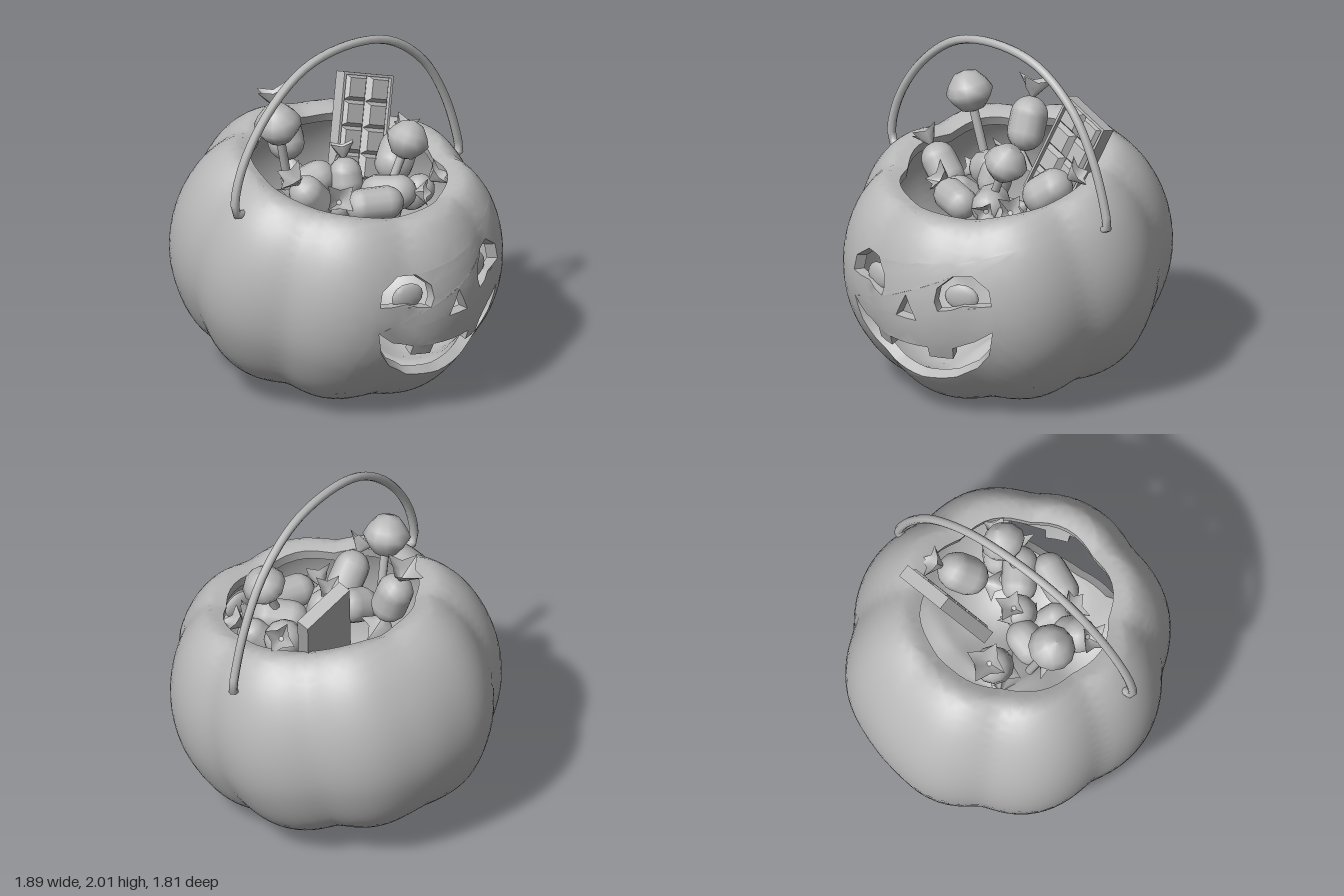
import * as THREE from 'three';
import { toCreasedNormals } from 'three/addons/utils/BufferGeometryUtils.js';

const V3 = (x, y, z) => new THREE.Vector3(x, y, z);
const UP = V3(0, 1, 0);
const TILT = 0.18, CENTRE_Y = 0.68, WALL = 0.06, OVAL = 1.045;

// Half outline of the bucket: [radius, height], from the dimpled base to the rim
const profile = new THREE.CatmullRomCurve3([
  [0.01, -0.5], [0.2, -0.545], [0.46, -0.61], [0.7, -0.49], [0.86, -0.22], [0.905, 0.02],
  [0.875, 0.27], [0.775, 0.49], [0.64, 0.61], [0.54, 0.585],
].map(([r, h]) => V3(r, h, 0)));
const LENGTH = profile.getLength();

// Point of the lobed shell at an angle, a distance up the outline and an outward offset
function shellPoint(angle, v, offset) {
  const t = THREE.MathUtils.clamp(v / LENGTH, 0, 1);
  const p = profile.getPointAt(t), d = profile.getTangentAt(t);
  const groove = 1 - Math.sqrt((Math.cos(4 * angle) ** 2 + 0.03) / 1.03);
  // Grooves are shallower on the face and nearly vanish at one place behind
  const calm = (1 - 0.5 * Math.max(0, Math.cos(angle)) ** 4) * (1 - 0.75 * Math.exp(-(((angle - 2.75) / 0.25) ** 2)));
  const r = Math.max(0.005, p.x * (1 - 0.065 * groove * calm) + d.y * offset);
  const h = p.y * (1 - 0.045 * groove) - d.x * offset;
  return V3(OVAL * r * Math.cos(angle), h, -r * Math.sin(angle));
}

// Finds where a face point (z, y) lies on the unrolled shell
function toSheet([z, y]) {
  let best, error = Infinity;
  for (let v = 0.82; v < 1.78; v += 0.005) {
    let p = shellPoint(0, v, 0), angle = 0;
    for (let i = 0; i < 3; i++) {
      angle = -Math.asin(z / Math.hypot(p.x / OVAL, p.z));
      p = shellPoint(angle, v, 0);
    }
    const e = Math.abs(CENTRE_Y + p.y * Math.cos(TILT) - p.x * Math.sin(TILT) - y);
    if (e < error) { error = e; best = new THREE.Vector2(angle, v); }
  }
  return best;
}

// Halves the longest edge until every triangle is small
function refine(a, b, c, limit, out) {
  const ab = a.distanceTo(b);
  const longest = Math.max(ab, b.distanceTo(c), c.distanceTo(a));
  if (longest <= limit) {
    out.push(a, b, c);
  } else if (ab < longest) {
    refine(b, c, a, limit, out);
  } else {
    const m = a.clone().add(b).multiplyScalar(0.5);
    refine(a, m, c, limit, out);
    refine(m, b, c, limit, out);
  }
}

// Bucket wall: flat sheets with face holes, refined and rolled round the outline
function bucketGeometry() {
  const eye = [[0.49, 0.75], [0.47, 0.84], [0.37, 0.91], [0.27, 0.9], [0.2, 0.83],
    [0.19, 0.75], [0.21, 0.7], [0.28, 0.71], [0.34, 0.74], [0.42, 0.74]];
  const mouth = [[0.49, 0.59], [0.4, 0.51], [0.28, 0.47], [0.28, 0.41], [0.17, 0.4], [0.165, 0.46],
    [-0.1, 0.46], [-0.1, 0.4], [-0.23, 0.4], [-0.24, 0.47], [-0.36, 0.52], [-0.46, 0.59],
    [-0.42, 0.44], [-0.33, 0.34], [-0.2, 0.26], [0.02, 0.22], [0.24, 0.26], [0.37, 0.35], [0.45, 0.45]];
  const nose = [[0.09, 0.62], [0.02, 0.76], [-0.05, 0.62]];
  const holes = [eye, eye.map(([z, y]) => [0.03 - z, y]), nose, mouth];

  const shapes = [], bands = [0, 0.8, 1.8, LENGTH], q = Math.PI / 2;
  for (let side = 0; side < 4; side++) {
    for (let band = 0; band < 3; band++) {
      const a = (side - 0.5) * q, b = a + q, lo = bands[band], hi = bands[band + 1];
      const shape = new THREE.Shape([[a, lo], [b, lo], [b, hi], [a, hi]].map((p) => new THREE.Vector2(...p)));
      if (side === 0 && band === 1) shape.holes = holes.map((h) => new THREE.Path(h.map(toSheet)));
      shapes.push(shape);
    }
  }
  const flat = new THREE.ExtrudeGeometry(shapes, { depth: WALL, bevelEnabled: false });
  const pos = flat.attributes.position, points = [];
  for (let i = 0; i < pos.count; i += 3) {
    const [a, b, c] = [0, 1, 2].map((k) => new THREE.Vector3().fromBufferAttribute(pos, i + k));
    refine(a, b, c, 0.1, points);
  }
  const rolled = points.map((p) => shellPoint(p.x, p.y, p.z - WALL));
  return toCreasedNormals(new THREE.BufferGeometry().setFromPoints(rolled), 0.7);
}

// Four-pointed twist of wrapper, opening upwards from its tip
function frillGeometry(radius, height) {
  const g = new THREE.CylinderGeometry(radius, 0.012, height, 8, 2, true);
  const p = g.attributes.position;
  for (let i = 0; i < p.count; i++) {
    const t = p.getY(i) / height + 0.5;
    const fold = i % 9 % 2;
    const spread = 1 + t * (fold ? -0.4 : 0.1);
    const lift = t * height * (fold ? -0.2 : 0.05);
    p.setXYZ(i, p.getX(i) * spread, p.getY(i) + height / 2 + lift, p.getZ(i) * spread);
  }
  g.computeVertexNormals();
  return g;
}

export function createModel() {
  const model = new THREE.Group();
  model.name = 'pumpkinBucketOfSweets';
  const grey = new THREE.MeshStandardMaterial({ color: 0xb8b8b8, side: THREE.DoubleSide });
  grey.name = 'plainGrey';

  const add = (name, geometry, parent = model) => {
    const mesh = new THREE.Mesh(geometry, grey);
    mesh.name = name;
    parent.add(mesh);
    return mesh;
  };

  // Leaning bucket
  const bucket = add('pumpkinBucket', bucketGeometry());
  bucket.rotation.z = -TILT;
  bucket.position.set(-0.01, CENTRE_Y, 0);

  // Sunken pupils behind the eye openings
  for (const s of [-1, 1]) {
    const pupil = add('pupil', new THREE.SphereGeometry(0.1, 12, 8).scale(0.3, 0.75, 1));
    pupil.position.set(0.8, 0.765, 0.015 + s * 0.28);
    pupil.rotation.y = -s * 0.3;
  }

  // Carrying handle, hooked into the shell at both ends
  const arc = [[0.73, 1.17], [0.8, 1.18], [0.81, 1.27], [0.74, 1.49], [0.56, 1.74], [0.31, 1.92], [0, 1.975],
    [-0.3, 1.92], [-0.55, 1.73], [-0.71, 1.46], [-0.8, 1.18], [-0.81, 1.1], [-0.75, 1.08]];
  const path = new THREE.CatmullRomCurve3(arc.map(([z, y]) => V3(0.08 - z * 0.125, y, z)));
  add('handle', new THREE.TubeGeometry(path, 40, 0.025, 8));

  // Lollipops with a soft ridge round the head: [head, stick end, radius]
  for (const [head, foot, r] of [
    [V3(-0.12, 1.555, 0.35), V3(-0.14, 1.05, 0.22), 0.135],
    [V3(0.33, 1.405, -0.225), V3(0.28, 0.95, -0.02), 0.125],
  ]) {
    const pop = new THREE.Group();
    pop.name = 'lollipop';
    pop.position.copy(head);
    const dir = head.clone().sub(foot), length = dir.length();
    pop.quaternion.setFromUnitVectors(UP, dir.normalize());
    const outline = [[0, -0.9], [0.5, -0.75], [0.82, -0.35], [1, 0], [0.82, 0.35], [0.5, 0.75], [0, 0.9]];
    add('lollipopHead', new THREE.LatheGeometry(outline.map(([x, y]) => new THREE.Vector2(x * r, y * r)), 12), pop);
    add('lollipopStick', new THREE.CylinderGeometry(0.025, 0.025, length, 8), pop).position.y = -length / 2;
    model.add(pop);
  }

  // Wrapped sweets: [centre, axis, radius, straight length, frill size or 0]
  const sweets = [
    [V3(-0.31, 1.36, 0.09), V3(-0.35, 1, 0), 0.105, 0.1, 0.11],
    [V3(0.12, 1.2, -0.36), V3(-0.3, 0.55, -0.7), 0.11, 0.08, 0.085],
    [V3(0.37, 1.13, 0.09), V3(0.5, 0, -0.85), 0.095, 0.14, 0],
    [V3(0.3, 1.12, -0.1), V3(0.8, 0.1, -0.4), 0.1, 0.12, 0.07],
    [V3(-0.04, 1.17, 0.15), V3(0.3, 0.3, -0.8), 0.1, 0.07, 0.07],
    [V3(0.09, 1.18, 0.02), V3(-0.3, 1, -0.15), 0.095, 0.05, 0.085],
    [V3(0.13, 1.18, 0.35), V3(-0.1, 0.8, 0.65), 0.1, 0.1, 0.09],
    [V3(0.17, 1.08, 0.18), V3(0.7, 0.7, 0.6), 0.085, 0.06, 0.09],
    [V3(0.35, 1.08, -0.27), V3(0.6, 0.7, -0.45), 0.085, 0.06, 0.08],
  ];
  for (const [centre, axis, r, length, frill] of sweets) {
    const sweet = new THREE.Group();
    sweet.name = 'wrappedSweet';
    sweet.position.copy(centre);
    sweet.quaternion.setFromUnitVectors(UP, axis.normalize());
    add('sweetBody', new THREE.CapsuleGeometry(r, length, 5, 12), sweet);
    if (frill) {
      for (const end of [1, -1]) {
        const twist = add('wrapperFrill', frillGeometry(frill, frill), sweet);
        twist.position.y = end * (length / 2 + r - 0.005);
        if (end < 0) twist.rotation.x = Math.PI;
      }
    }
    model.add(sweet);
  }

  // Chocolate bar: framed slab with two columns of raised pieces
  const bar = new THREE.Group();
  bar.name = 'chocolateBar';
  const up = V3(-0.2, 0.92, -0.36).normalize();
  const normal = up.clone().cross(V3(-0.26, 0.36, 0.9)).normalize();
  bar.quaternion.setFromRotationMatrix(new THREE.Matrix4().makeBasis(normal, up, normal.clone().cross(up)));
  bar.position.set(-0.13, 1.31, -0.33);
  add('barSlab', new THREE.BoxGeometry(0.055, 0.6, 0.34), bar);
  for (const s of [-1, 1]) {
    add('barSideRim', new THREE.BoxGeometry(0.03, 0.6, 0.015), bar).position.set(0.035, 0, s * 0.1625);
    add('barEndRim', new THREE.BoxGeometry(0.03, 0.015, 0.34), bar).position.set(0.035, s * 0.2925, 0);
    for (let row = 0; row < 4; row++) {
      const block = new THREE.CylinderGeometry(0.075, 0.108, 0.035, 4).rotateY(Math.PI / 4).toNonIndexed();
      block.computeVertexNormals();
      const piece = add('barPiece', block, bar);
      piece.rotation.z = -Math.PI / 2;
      piece.position.set(0.043, (row - 1.5) * 0.145, s * 0.077);
    }
  }
  model.add(bar);
  return model;
}
